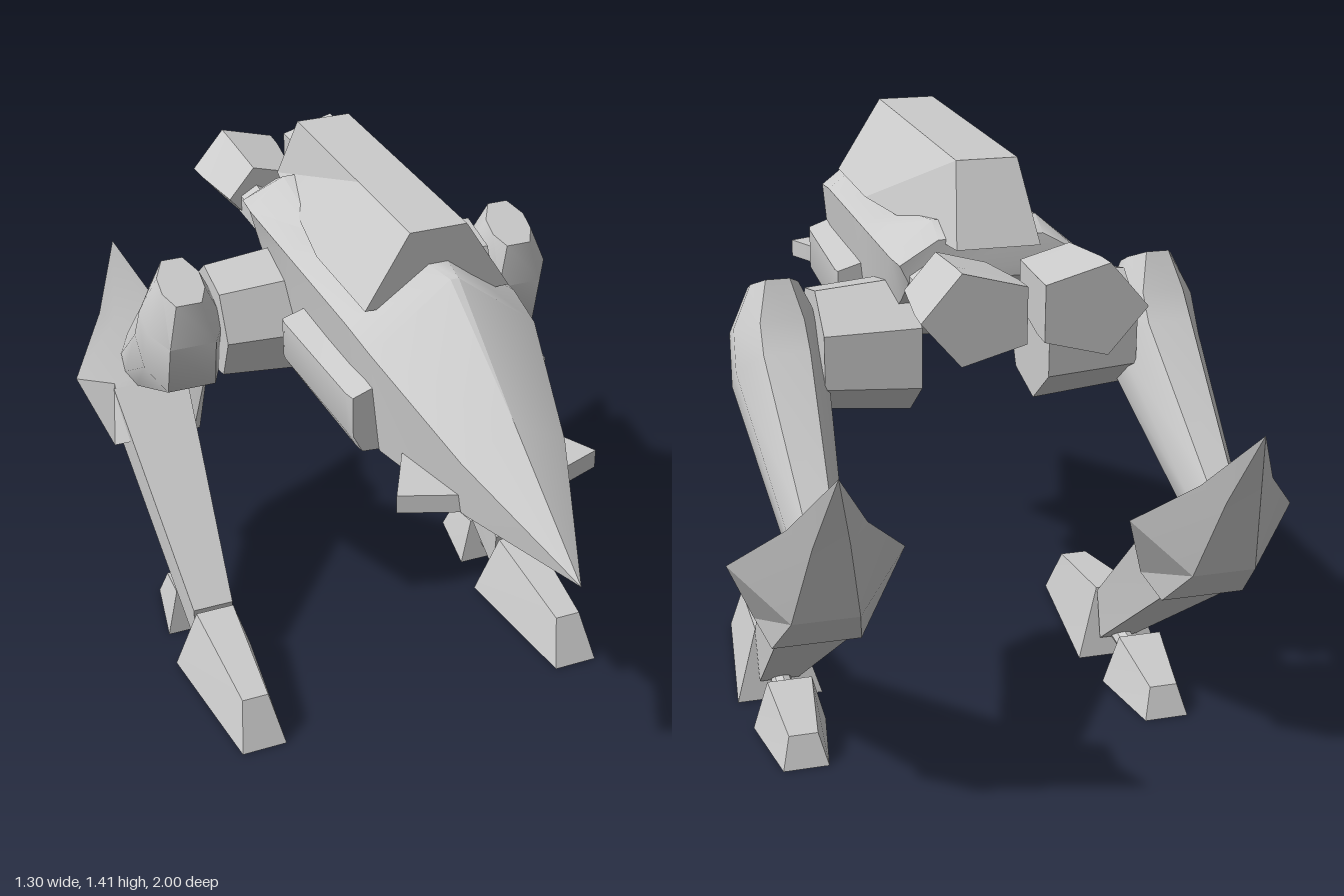
import * as THREE from 'three';
import { toCreasedNormals } from 'three/addons/utils/BufferGeometryUtils.js';

const grey = new THREE.MeshStandardMaterial({ color: 0xcccccc });

// Closed solid through rings of [x, y, z] points, capped at both ends
function loft(rings, crease = 0.6) {
  const n = rings[0].length, tris = [];
  const quad = (a, b, c, d) => tris.push([a, b, c], [a, c, d]);
  for (let r = 0; r < rings.length - 1; r++)
    for (let i = 0; i < n; i++) {
      const j = (i + 1) % n;
      quad(rings[r][i], rings[r][j], rings[r + 1][j], rings[r + 1][i]);
    }
  const first = rings[0], last = rings[rings.length - 1];
  for (let i = 1; i < n - 1; i++) {
    tris.push([first[0], first[i + 1], first[i]]);
    tris.push([last[0], last[i], last[i + 1]]);
  }
  // Turn the faces outward if the enclosed volume is negative
  const v = p => new THREE.Vector3(...p);
  const volume = tris.reduce((s, [a, b, c]) => s + v(a).dot(v(b).cross(v(c))), 0);
  const solid = tris.filter(([a, b, c]) => v(b).sub(v(a)).cross(v(c).sub(v(a))).length() > 1e-9);
  if (volume < 0) solid.forEach(t => t.reverse());
  const g = new THREE.BufferGeometry();
  g.setAttribute('position', new THREE.Float32BufferAttribute(solid.flat(2), 3));
  return toCreasedNormals(g, crease);
}

// Full ring from its +x half
const mirror = half => [...half, ...half.map(([x, y, z]) => [-x, y, z]).reverse()];
const symmetric = (halves, crease) => loft(halves.map(mirror), crease);

function add(parent, name, geometry) {
  const m = new THREE.Mesh(geometry, grey);
  m.name = name;
  parent.add(m);
  return m;
}

// Straight round or faceted bar between two points
function bar(a, b, ra, rb, sides) {
  const p = new THREE.Vector3(...a), q = new THREE.Vector3(...b);
  const d = q.clone().sub(p);
  const g = new THREE.CylinderGeometry(rb, ra, d.length(), sides);
  g.applyQuaternion(new THREE.Quaternion().setFromUnitVectors(new THREE.Vector3(0, 1, 0), d.normalize()));
  g.translate(...p.add(q).multiplyScalar(0.5).toArray());
  return toCreasedNormals(g, 0.6);
}

function buildLeg() {
  const leg = new THREE.Group();

  // Thigh: [low z, low y, high z, high y, half width]
  const thigh = [
    [-0.23, 1.08, -0.365, 1.145, 0.055], [-0.215, 0.97, -0.41, 1.06, 0.1],
    [-0.255, 0.83, -0.46, 1.0, 0.105], [-0.70, 0.61, -0.79, 0.73, 0.06],
  ];
  add(leg, 'thigh', symmetric(thigh.map(([z0, y0, z1, y1, w]) =>
    [[0, 0.6], [0.3, 1], [0.65, 1], [1, 0.5]].map(([t, k]) =>
      [w * k, y0 + (y1 - y0) * t, z0 + (z1 - z0) * t])), 0.9));

  add(leg, 'shin', symmetric([
    [[0.055, 0.18, -0.19], [0.05, 0.05, -0.21]],
    [[0.105, 0.62, -0.69], [0.09, 0.45, -0.75]],
  ]));

  // Knee guard with side points and a rear spike
  add(leg, 'kneeGuard', symmetric([
    [[0.09, 0.5, -0.59], [0.125, 0.46, -0.655], [0.1, 0.42, -0.73]],
    [[0.1, 0.63, -0.7], [0.195, 0.64, -0.75], [0.075, 0.53, -0.84]],
    [[0.05, 0.745, -0.855], [0.085, 0.765, -0.875], [0.04, 0.735, -0.915]],
    [[0, 0.92, -1], [0, 0.92, -1], [0, 0.92, -1]],
  ], 0.4));

  add(leg, 'foot', symmetric([
    [[0.06, 0, 0.215], [0.035, 0.125, 0.155]],
    [[0.108, 0, -0.215], [0.052, 0.18, -0.175]],
  ]));
  add(leg, 'heel', symmetric([
    [[0.09, 0, -0.345], [0.055, 0.13, -0.36]],
    [[0.055, 0, -0.56], [0.035, 0.075, -0.53]],
  ]));
  add(leg, 'heelLink', bar([0, 0.07, -0.18], [0, 0.05, -0.38], 0.025, 0.025, 8));
  return leg;
}

export function createModel() {
  const model = new THREE.Group();

  // Hull: half section as bottom, side edge and top
  add(model, 'hull', symmetric([
    [[0, 0.92, 1], [0, 0.92, 1], [0, 0.92, 1]],
    [[0.11, 0.92, 0.67], [0.125, 1.06, 0.67], [0, 1.13, 0.67]],
    [[0.18, 0.92, 0.35], [0.205, 1.18, 0.35], [0.01, 1.33, 0.35]],
    [[0.18, 0.92, 0.22], [0.215, 1.2, 0.22], [0.03, 1.33, 0.22]],
    [[0.185, 0.92, -0.17], [0.215, 1.2, -0.17], [0.13, 1.24, -0.17]],
    [[0.19, 1.1, -0.45], [0.215, 1.2, -0.45], [0.12, 1.28, -0.45]],
    [[0.19, 1.16, -0.52], [0.21, 1.2, -0.52], [0.12, 1.25, -0.51]],
  ], 0.7));

  add(model, 'topHousing', symmetric([
    [[0.18, 1.24, 0.26], [0.07, 1.415, 0.26]],
    [[0.18, 1.24, -0.05], [0.07, 1.415, -0.05]],
    [[0.095, 1.24, -0.57], [0.07, 1.415, -0.47]],
  ], 0.3));

  for (const [side, s] of [['left', 1], ['right', -1]]) {
    const flip = p => [p[0] * s, p[1], p[2]];

    // Small wing beside the nose
    const wing = [[0.09, 0.66], [0.245, 0.6], [0.165, 0.44], [0.09, 0.39]];
    add(model, side + 'NoseWing', loft([0.92, 0.965].map(y => wing.map(([x, z]) => flip([x, y, z])))));

    // Pod on the flank
    const pod = [[0.16, 0.92], [0.235, 0.925], [0.262, 0.97], [0.262, 1.07], [0.16, 1.1]];
    add(model, side + 'SidePod', loft([[0.34, 0.82], [0.31, 0.88], [-0.07, 1], [-0.09, 0.97]].map(([z, k]) =>
      pod.map(([x, y]) => flip([0.16 + (x - 0.16) * k, y, z])))));

    // Faceted hip joint
    add(model, side + 'Hip', bar([s * 0.15, 0.97, -0.335], [s * 0.37, 0.97, -0.335], 0.165, 0.145, 7));

    // Engine: five-sided flaring nozzle and its neck
    const nozzle = [[0.6, 0.8], [0.78, 0.98], [0.84, 1]].map(([z, k]) =>
      Array.from({ length: 5 }, (_, i) => {
        const a = i * Math.PI * 0.4;
        return flip([0.12 + 0.125 * k * Math.cos(a), 1.17 + 0.105 * k * Math.sin(a), -z]);
      }));
    add(model, side + 'Engine', loft(nozzle, 0.5));
    add(model, side + 'EngineNeck', bar([s * 0.145, 1.15, -0.47], [s * 0.145, 1.15, -0.62], 0.05, 0.05, 6));

    const leg = buildLeg();
    leg.name = side + 'Leg';
    leg.position.x = s * 0.453;
    model.add(leg);
  }
  return model;
}
